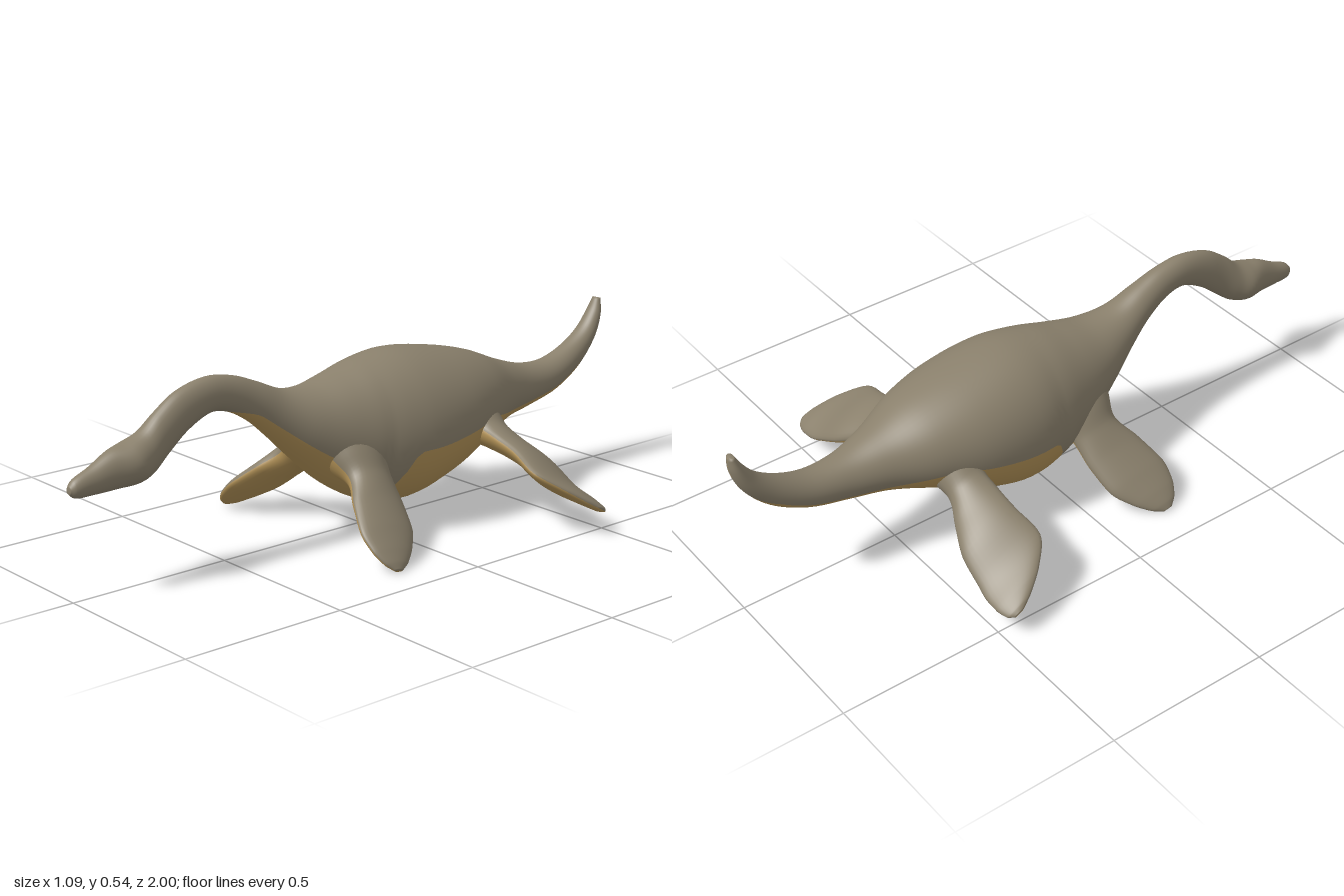
import * as THREE from 'three';

const V = (x, y, z) => new THREE.Vector3(x, y, z);

// Skin over closed rings; faces in columns below bellyCount use the second material.
function loft(name, rings, bellyCount, mats, flip = false) {
  const n = rings[0].length, pos = [], back = [], belly = [];
  rings.forEach(r => r.forEach(p => pos.push(p.x, p.y, p.z)));
  const tri = (j, a, b, c) => (j < bellyCount ? belly : back).push(a, ...(flip ? [c, b] : [b, c]));
  for (let i = 0; i < rings.length - 1; i++) {
    for (let j = 0; j < n; j++) {
      const k = (j + 1) % n, a = i * n, b = a + n;
      tri(j, a + j, b + j, a + k);
      tri(j, a + k, b + j, b + k);
    }
  }
  // rounded-off end caps
  [0, rings.length - 1].forEach((i, end) => {
    const mid = rings[i].reduce((s, p) => s.add(p), V(0, 0, 0)).divideScalar(n);
    const c = pos.length / 3;
    pos.push(mid.x, mid.y, mid.z);
    for (let j = 0; j < n; j++) {
      const p = i * n + j, q = i * n + (j + 1) % n;
      if (end) tri(j, c, q, p); else tri(j, c, p, q);
    }
  });
  const g = new THREE.BufferGeometry();
  g.setAttribute('position', new THREE.Float32BufferAttribute(pos, 3));
  g.setIndex([...back, ...belly]);
  g.addGroup(0, back.length, 0);
  g.addGroup(back.length, belly.length, 1);
  g.computeVertexNormals();
  const mesh = new THREE.Mesh(g, mats);
  mesh.name = name;
  return mesh;
}

// Snout to tail: top z, top y, bottom z, bottom y, half width
const BODY = [
  [1, .328, 1, .308, .01],
  [.985, .345, .985, .295, .021],
  [.93, .37, .93, .292, .03],
  [.87, .402, .86, .293, .043],
  [.82, .415, .79, .297, .062],
  [.77, .435, .745, .312, .052],
  [.72, .477, .69, .355, .041],
  [.65, .523, .62, .41, .037],
  [.55, .547, .54, .445, .037],
  [.46, .535, .48, .435, .041],
  [.38, .505, .41, .395, .052],
  [.29, .467, .34, .335, .073],
  [.2, .46, .25, .25, .11],
  [.1, .48, .14, .155, .15],
  [0, .505, .02, .088, .185],
  [-.12, .518, -.11, .066, .21],
  [-.28, .497, -.28, .115, .202],
  [-.42, .462, -.42, .18, .16],
  [-.55, .41, -.55, .222, .1],
  [-.66, .378, -.66, .24, .068],
  [-.76, .375, -.79, .272, .054],
  [-.85, .405, -.9, .335, .043],
  [-.92, .45, -.972, .42, .035],
  [-.96, .5, -.998, .49, .026],
  [-.982, .54, -1, .535, .014],
];

// Half angle of the pale belly band at a given z
function bellyAngle(z) {
  const s = THREE.MathUtils.smoothstep;
  const ends = s(z, -.97, -.85) * (1 - s(z, .38, .52));
  const wide = .4 * s(z, -.6, -.35) * (1 - s(z, 0, .2));
  const notch = .65 * Math.exp(-((z / .035) ** 2));
  return Math.max(.02, ends * (1.02 + wide - notch));
}

function bodyRings(belly, back) {
  const top = new THREE.CatmullRomCurve3(BODY.map(r => V(r[4], r[1], r[0])));
  const bot = new THREE.CatmullRomCurve3(BODY.map(r => V(0, r[3], r[2])));
  const rings = [], rows = 144;
  for (let i = 0; i <= rows; i++) {
    const t = top.getPoint(i / rows), b = bot.getPoint(i / rows);
    const my = (t.y + b.y) / 2, mz = (t.z + b.z) / 2;
    const w = bellyAngle(mz), ring = [];
    for (let j = 0; j < belly + back; j++) {
      const a = j < belly ? -w + 2 * w * j / belly
        : w + (2 * Math.PI - 2 * w) * (j - belly) / back;
      const c = Math.cos(a);
      ring.push(V(t.x * Math.sin(a), my - c * (t.y - my), mz - c * (t.z - mz)));
    }
    rings.push(ring);
  }
  return rings;
}

// Root to tip: x, y, z, half chord, half thickness
const FRONT = [
  [.06, .275, .1, .12, .1],
  [.11, .24, .1, .092, .075],
  [.16, .2, .103, .074, .048],
  [.22, .15, .125, .09, .035],
  [.29, .093, .153, .097, .029],
  [.345, .05, .178, .072, .021],
  [.375, .025, .19, .042, .014],
  [.39, .012, .195, .015, .006],
];
const REAR = [
  [.06, .3, -.35, .12, .1],
  [.12, .275, -.355, .085, .07],
  [.18, .245, -.368, .065, .045],
  [.24, .22, -.383, .08, .036],
  [.32, .188, -.398, .1, .032],
  [.42, .142, -.395, .113, .026],
  [.49, .11, -.425, .08, .019],
  [.525, .09, -.447, .043, .013],
  [.54, .082, -.457, .015, .006],
];

function flipperRings(rows, tilt, side) {
  const path = new THREE.CatmullRomCurve3(rows.map(r => V(r[0], r[1], r[2])));
  const size = new THREE.CatmullRomCurve3(rows.map(r => V(r[3], r[4], 0)));
  const chord = V(0, Math.sin(tilt), Math.cos(tilt)), rings = [], steps = 48, n = 32;
  for (let i = 0; i <= steps; i++) {
    const p = path.getPoint(i / steps), s = size.getPoint(i / steps);
    const tan = path.getTangent(i / steps).setZ(0).normalize();
    const up = chord.clone().cross(tan).normalize();
    const ring = [];
    for (let j = 0; j < n; j++) {
      const a = Math.PI + j / n * Math.PI * 2;
      const q = p.clone().addScaledVector(chord, s.x * Math.cos(a)).addScaledVector(up, s.y * Math.sin(a));
      q.x *= side;
      ring.push(q);
    }
    rings.push(ring);
  }
  return rings;
}

export function createModel() {
  const hide = new THREE.MeshStandardMaterial({ color: 0x8a806c });
  hide.name = 'greyHide';
  const pale = new THREE.MeshStandardMaterial({ color: 0xb09056 });
  pale.name = 'tanBelly';
  const mats = [hide, pale];

  const model = new THREE.Group();
  model.name = 'longNeckedSeaReptile';
  model.add(loft('body', bodyRings(20, 32), 20, mats));
  for (const [side, label] of [[1, 'left'], [-1, 'right']]) {
    model.add(loft(label + 'FrontFlipper', flipperRings(FRONT, .2, side), 16, mats, side < 0));
    model.add(loft(label + 'RearFlipper', flipperRings(REAR, .5, side), 16, mats, side < 0));
  }
  return model;
}
